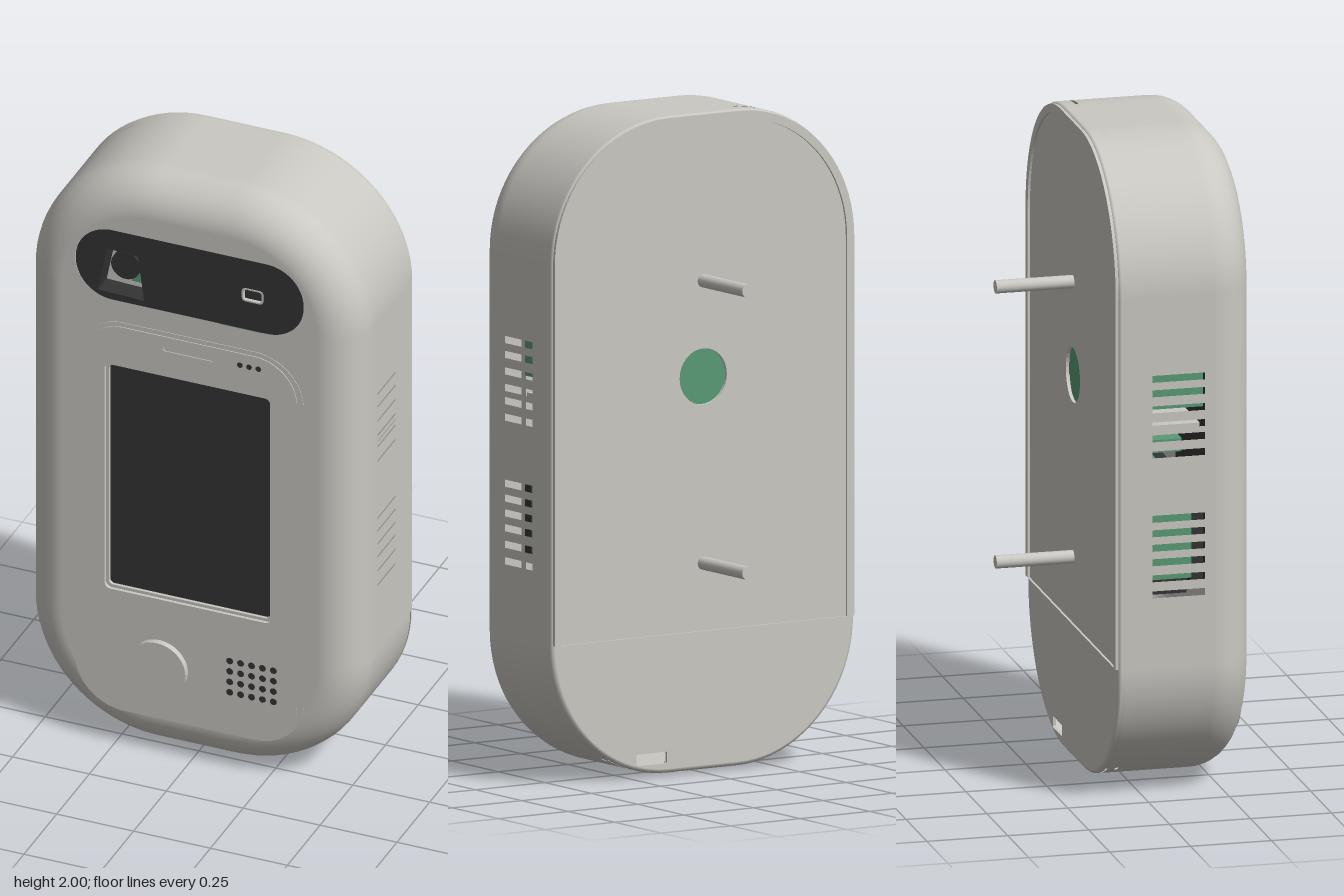
import * as THREE from 'three';

const mat = (name, color, side = THREE.FrontSide) => {
  const m = new THREE.MeshStandardMaterial({ color, side });
  m.name = name;
  return m;
};

export function createModel() {
  const shell = mat('warm grey plastic', 0xcac8c2, THREE.DoubleSide);
  const dark = mat('dark glass', 0x343434);
  const green = mat('circuit green', 0x5a9a76);
  const model = new THREE.Group();

  const add = (name, geo, material, x = 0, y = 0, z = 0) => {
    const m = new THREE.Mesh(geo, material);
    m.name = name;
    m.position.set(x, y, z);
    model.add(m);
    return m;
  };
  const box = (name, material, x0, x1, y0, y1, z0, z1) =>
    add(name, new THREE.BoxGeometry(x1 - x0, y1 - y0, z1 - z0), material,
      (x0 + x1) / 2, (y0 + y1) / 2, (z0 + z1) / 2);
  const slab = (name, shape, z0, z1, material, holes = []) => {
    shape.holes.push(...holes);
    return add(name, new THREE.ExtrudeGeometry(shape,
      { depth: z1 - z0, bevelEnabled: false, curveSegments: 16 }), material, 0, 0, z0);
  };
  const rod = (name, material, r, x, y, z0, z1, sides = 32) => {
    const g = new THREE.CylinderGeometry(r, r, z1 - z0, sides).rotateX(Math.PI / 2);
    return add(name, g, material, x, y, (z0 + z1) / 2);
  };
  const rr = (x0, y0, x1, y1, r) => {
    const s = new THREE.Shape(), h = Math.PI / 2;
    s.absarc(x1 - r, y0 + r, r, -h, 0);
    s.absarc(x1 - r, y1 - r, r, 0, h);
    s.absarc(x0 + r, y1 - r, r, h, 2 * h);
    s.absarc(x0 + r, y0 + r, r, 2 * h, 3 * h);
    s.closePath();
    return s;
  };
  const disc = (x, y, r) => new THREE.Shape().absarc(x, y, r, 0, Math.PI * 2);

  // Case outline, anticlockwise from the lower right, with breaks at the vents
  const R = 0.42, CX = 0.125, TOP = 1.58, BOT = 0.43;
  const vents = [0.655, 0.705, 0.755, 0.8, 0.845, 0.89, 1.09, 1.14, 1.18, 1.23, 1.28, 1.325];
  const breaks = vents.flatMap((y) => [y - 0.0125, y + 0.0125]);
  const base = [];
  const arc = (cx, cy, quarter) => {
    for (let i = 0; i <= 20; i++) {
      const a = (quarter + i / 20) * Math.PI / 2;
      base.push({ cx, cy, nx: Math.cos(a), ny: Math.sin(a) });
    }
  };
  base.push({ cx: CX, cy: BOT, nx: 1, ny: 0 });
  breaks.forEach((y) => base.push({ cx: CX, cy: y, nx: 1, ny: 0 }));
  arc(CX, TOP, 0);
  arc(-CX, TOP, 1);
  [...breaks].reverse().forEach((y) => base.push({ cx: -CX, cy: y, nx: -1, ny: 0 }));
  arc(-CX, BOT, 2);
  arc(CX, BOT, 3);
  const outline = (d) =>
    base.map((p) => new THREE.Vector2(p.cx + p.nx * (R - d), p.cy + p.ny * (R - d)));

  // Skin through rows of [inset, z, tilt of the normal]; cells can be left open
  const skin = (rows, open) => {
    const pos = [], nor = [];
    const loops = rows.map((r) => outline(r[0]));
    for (let j = 0; j + 1 < rows.length; j++) {
      for (let i = 0; i < base.length; i++) {
        const k = (i + 1) % base.length;
        const a = loops[j][i], b = loops[j][k];
        if (a.distanceTo(b) < 1e-6) continue;
        if (open((a.x + b.x) / 2, (a.y + b.y) / 2, (rows[j][1] + rows[j + 1][1]) / 2)) continue;
        for (const [row, q] of [[j, i], [j, k], [j + 1, k], [j, i], [j + 1, k], [j + 1, i]]) {
          const p = loops[row][q], [, z, t] = rows[row], c = Math.cos(t);
          pos.push(p.x, p.y, z);
          nor.push(base[q].nx * c, base[q].ny * c, Math.sin(t));
        }
      }
    }
    const g = new THREE.BufferGeometry();
    g.setAttribute('position', new THREE.Float32BufferAttribute(pos, 3));
    g.setAttribute('normal', new THREE.Float32BufferAttribute(nor, 3));
    return g;
  };
  const isVent = (x, y, z) => Math.abs(x) > 0.5 && z > 0 && z < 0.166 &&
    vents.some((v) => Math.abs(v - y) < 0.012);
  const isSeam = (x, y, z) => {
    const ax = Math.abs(x);
    if (z > -0.06 && z < -0.05) return ax < 0.21 || (ax > 0.31 && (y > 1.84 || y < 0.17));
    return z > -0.09 && z < -0.083 && y < BOT;
  };
  const rows = [[0.012, -0.105, -1.4], [0.004, -0.102, -0.8], [0, -0.095, 0], [0, -0.09, 0],
    [0, -0.083, 0], [0, -0.06, 0], [0, -0.05, 0], [0, 0, 0], [0, 0.166, 0]];
  for (let i = 0; i <= 10; i++) {
    const t = i / 10 * Math.PI / 2;
    rows.push([0.13 * (1 - Math.cos(t)), 0.19 + 0.13 * Math.sin(t), t]);
  }
  add('caseWall', skin(rows, (x, y, z) => isVent(x, y, z) || isSeam(x, y, z)), shell);
  add('caseLining', skin([[0.012, -0.1, 0], [0.012, 0, 0], [0.012, 0.166, 0], [0.012, 0.19, 0]],
    isVent), shell);

  // Front face with openings for the visor and the screen
  const visorShape = () => rr(-0.372, 1.56, 0.37, 1.805, 0.12);
  const screenHole = () => rr(-0.275, 0.55, 0.268, 1.34, 0.02);
  const face = new THREE.Shape(outline(0.13));
  face.holes.push(visorShape(), screenHole());
  add('frontFace', new THREE.ShapeGeometry(face, 16), shell, 0, 0, 0.32);

  // Visor with camera pocket and small sensor
  const pocket = new THREE.Shape([[-0.3, 1.585], [-0.15, 1.58], [-0.17, 1.73], [-0.27, 1.735]]
    .map((p) => new THREE.Vector2(...p)));
  slab('visor', visorShape(), 0.25, 0.317, dark, [pocket, rr(0.172, 1.662, 0.234, 1.7, 0.01)]);
  box('cameraPocketFloor', shell, -0.32, -0.13, 1.57, 1.75, 0.22, 0.25);
  box('cameraBoard', green, -0.215, -0.185, 1.6, 1.66, 0.25, 0.255);
  rod('cameraLens', dark, 0.047, -0.21, 1.69, 0.25, 0.318);
  slab('sensorFrame', rr(0.168, 1.658, 0.238, 1.704, 0.012), 0.3, 0.3185, shell,
    [rr(0.173, 1.663, 0.233, 1.699, 0.01)]);
  box('sensor', dark, 0.175, 0.231, 1.665, 1.697, 0.3, 0.31);

  // Stepped control panel around the screen
  slab('panelEdge', rr(-0.372, 0.13, 0.37, 1.49, 0.16), 0.295, 0.322, shell, [screenHole()]);
  slab('panel', rr(-0.352, 0.145, 0.35, 1.475, 0.14), 0.31, 0.325, shell,
    [screenHole(), rr(-0.085, 1.425, 0.08, 1.445, 0.008)]);
  slab('screenBezel', screenHole(), 0.285, 0.315, shell, [rr(-0.265, 0.56, 0.258, 1.33, 0.015)]);
  box('screen', dark, -0.27, 0.263, 0.555, 1.335, 0.28, 0.305);
  rod('button', shell, 0.093, -0.097, 0.315, 0.31, 0.345, 48);
  for (const x of [0.165, 0.195, 0.225]) rod('indicator', dark, 0.009, x, 1.435, 0.32, 0.3265, 12);
  for (let i = 0; i < 5; i++) {
    for (let j = 0; j < 4; j++) {
      rod('speakerHole', dark, 0.011, 0.132 + i * 0.0355, 0.28 + j * 0.0365, 0.32, 0.3265, 12);
    }
  }

  // Back plate, raised rim and mounting pins
  slab('backPlate', new THREE.Shape(outline(0.012)), -0.105, -0.095, shell,
    [disc(0, 1.2, 0.085), rr(0.13, 0.04, 0.24, 0.075, 0.004)]);
  const upper = (d) => outline(d).filter((p) => p.y > BOT - 1e-6);
  slab('backRim', new THREE.Shape([...upper(0.006), ...upper(0.032).reverse()]),
    -0.112, -0.1, shell);
  for (const y of [1.49, 0.635]) rod('mountingPin', shell, 0.02, 0, y, -0.345, -0.1, 24);
  add('bottomScrew', new THREE.CylinderGeometry(0.028, 0.028, 0.03, 24), shell, 0.06, 0.015, -0.035);

  // Electronics seen through the vents and the cable hole
  rod('cableHoleBoard', green, 0.12, 0, 1.2, -0.085, -0.075);
  box('lowerBoard', green, -0.45, 0.45, 0.675, 0.93, -0.01, 0.145);
  box('upperBoard', green, -0.45, 0.45, 1.205, 1.36, 0.02, 0.18);
  box('middleBoard', green, -0.45, 0.45, 1.07, 1.11, 0, 0.115);
  box('displayModule', dark, -0.45, 0.45, 0.64, 0.93, 0.146, 0.18);
  box('battery', dark, -0.45, 0.45, 0.63, 0.674, 0, 0.13);
  box('bracket', shell, -0.45, 0.45, 1.125, 1.155, 0.02, 0.17);
  return model;
}
